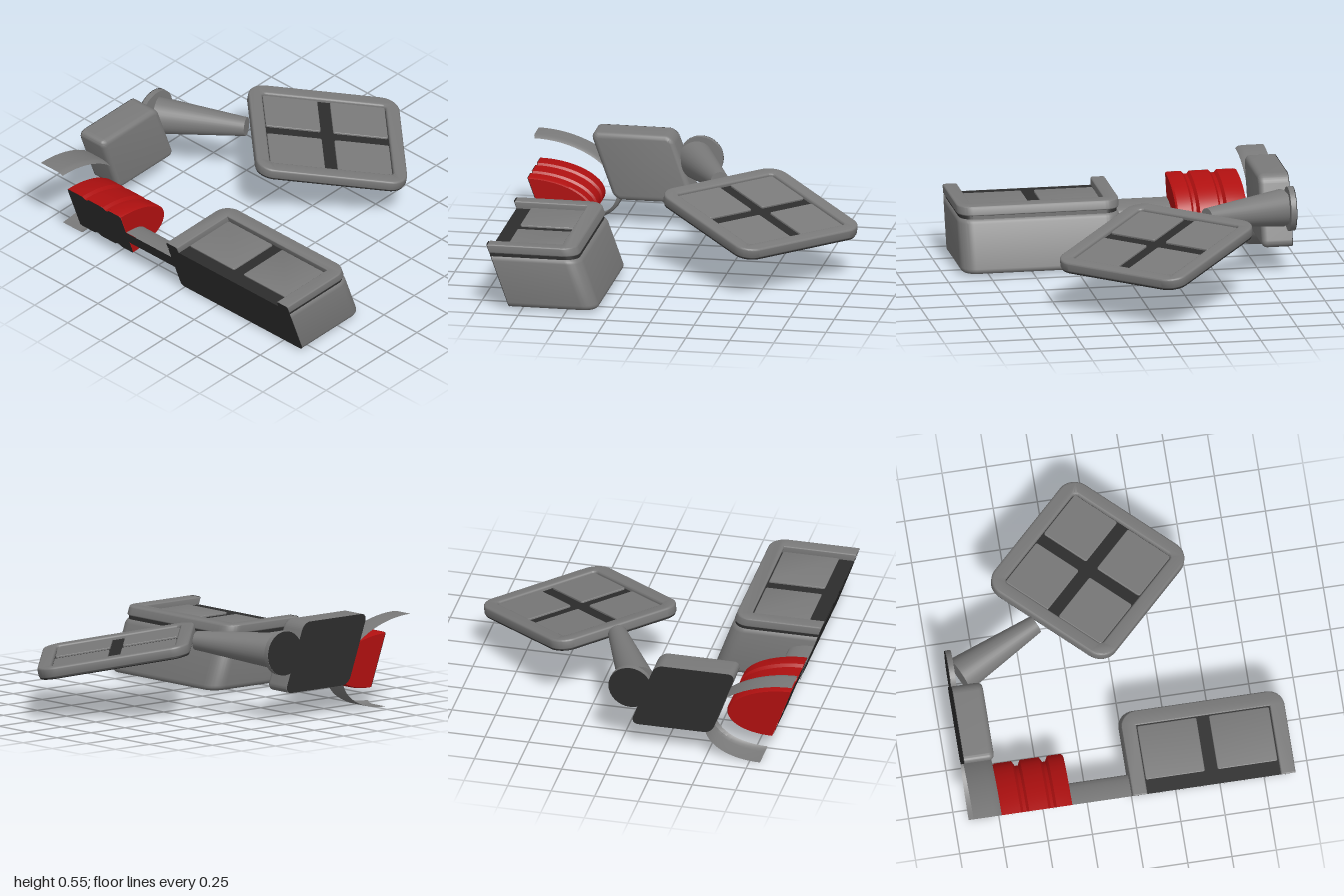
import * as THREE from 'three';
import { toCreasedNormals } from 'three/addons/utils/BufferGeometryUtils.js';

const mat = (name, color) =>
  new THREE.MeshStandardMaterial({ name, color, side: THREE.DoubleSide });

const CUT = 0.9;      // flat front plane, before the lean
const SIDE = -0.92;   // flat outer side plane
const LEAN = 0.36;    // forward lean per unit of height

// clip a geometry at the flat planes, lean it, and smooth its rounded parts
function lean(geo) {
  const p = geo.attributes.position;
  for (let i = 0; i < p.count; i++) {
    const y = p.getY(i);
    p.setX(i, Math.max(p.getX(i), SIDE));
    p.setZ(i, Math.min(p.getZ(i), CUT) + LEAN * (y - 0.25));
  }
  return toCreasedNormals(geo, 0.6);
}

function roundRect(x0, y0, x1, y1, r, Kind = THREE.Shape) {
  const s = new Kind();
  s.absarc(x1 - r, y0 + r, r, -Math.PI / 2, 0);
  s.absarc(x1 - r, y1 - r, r, 0, Math.PI / 2);
  s.absarc(x0 + r, y1 - r, r, Math.PI / 2, Math.PI);
  s.absarc(x0 + r, y0 + r, r, Math.PI, Math.PI * 1.5);
  s.closePath();
  return s;
}

function extrude(shape, depth, bevel) {
  const g = new THREE.ExtrudeGeometry(shape, {
    depth: depth - 2 * bevel, bevelEnabled: bevel > 0, bevelThickness: bevel,
    bevelSize: bevel, bevelOffset: -bevel, bevelSegments: 4, curveSegments: 8,
  });
  return g.translate(0, 0, bevel);
}

// horizontal slab; the shape's y runs towards -z
const slab = (shape, y0, y1, bevel = 0) =>
  extrude(shape, y1 - y0, bevel).rotateX(-Math.PI / 2).translate(0, y0, 0);

// half of an oval turning along x, its flat side on the front plane
function halfTurn(points, cy, h, d) {
  const g = new THREE.LatheGeometry(points.map(([r, x]) => new THREE.Vector2(r, x)), 32, Math.PI, Math.PI);
  const p = g.attributes.position;
  for (let i = 0; i < p.count; i++) {
    p.setXYZ(i, p.getY(i), cy + h * p.getZ(i), CUT + d * p.getX(i));
  }
  return lean(g);
}

// flat front of such a half turn
function turnFace(points, cy, h) {
  const pts = points.map(([r, x]) => new THREE.Vector2(x, cy - h * r))
    .concat(points.slice().reverse().map(([r, x]) => new THREE.Vector2(x, cy + h * r)));
  return lean(new THREE.ShapeGeometry(new THREE.Shape(pts)).translate(0, 0, CUT)).translate(0, 0, 0.003);
}

export function createModel() {
  const grey = mat('grey', 0x7a7a7a);
  const dark = mat('dark grey', 0x2d2d2d);
  const red = mat('red', 0xb01010);
  const root = new THREE.Group();
  const add = (name, geo, material, parent = root) => {
    const m = new THREE.Mesh(geo, material);
    m.name = name;
    parent.add(m);
    return m;
  };
  const group = (name) => {
    const g = new THREE.Group();
    g.name = name;
    root.add(g);
    return g;
  };

  // curved open guard
  add('guard', halfTurn([[1, SIDE], [1, -0.8], [0.985, -0.775], [0.94, -0.76]], 0.2525, 0.2525, 0.4), grey);

  // ribbed red grip
  const grip = [[0, -0.757], [0.97, -0.757], [1, -0.74], [1, -0.645], [0.9, -0.63], [0.9, -0.612], [1, -0.598],
    [1, -0.49], [0.9, -0.475], [0.9, -0.458], [1, -0.443], [1, -0.365], [0.96, -0.355], [0, -0.355]];
  add('grip', halfTurn(grip, 0.232, 0.152, 0.31), red);
  add('gripFace', turnFace(grip.slice(1, -1), 0.232, 0.152), dark);

  // connecting rod
  const rod = [[1, -0.36], [1, 0.03]];
  add('rod', halfTurn(rod, 0.21, 0.042, 0.13), grey);
  add('rodFace', turnFace(rod, 0.21, 0.042), dark);

  // leaning block behind the guard
  const side = roundRect(0.1, 0.155, 0.566, 0.545, 0.045);
  add('block', lean(extrude(side, 0.22, 0.03).rotateY(-Math.PI / 2).translate(-0.75, 0, 0)), grey);
  add('blockFace', lean(new THREE.ShapeGeometry(side).rotateY(-Math.PI / 2).translate(SIDE, 0, 0))
    .translate(-0.003, 0, 0), dark);

  // deep front tray
  const tray = group('frontTray');
  add('trayBody', lean(slab(roundRect(-0.012, -1.2, 0.908, -0.4, 0.09), 0.015, 0.312, 0.03)), grey, tray);
  add('trayFloor', lean(slab(roundRect(0, -1.2, 0.896, -0.412, 0.08), 0.29, 0.334)), dark, tray);
  const rim = new THREE.Shape();
  rim.moveTo(-0.012, -CUT);
  rim.lineTo(0.07, -CUT);
  rim.lineTo(0.07, -0.487);
  rim.lineTo(0.826, -0.487);
  rim.lineTo(0.826, -CUT);
  rim.lineTo(0.908, -CUT);
  rim.absarc(0.818, -0.49, 0.09, 0, Math.PI / 2);
  rim.absarc(0.078, -0.49, 0.09, Math.PI / 2, Math.PI);
  rim.closePath();
  add('trayRim', lean(slab(rim, 0.325, 0.376, 0.008)), grey, tray);
  for (const [x0, x1] of [[0.076, 0.41], [0.482, 0.82]]) {
    add('trayPanel', lean(slab(roundRect(x0, -0.815, x1, -0.493, 0.01), 0.325, 0.345, 0.004)), grey, tray);
  }
  const face = (name, x0, y0, x1, y1, r) => add(name,
    lean(new THREE.ShapeGeometry(roundRect(x0, y0, x1, y1, r)).translate(0, 0, CUT)).translate(0, 0, 0.003), dark, tray);
  face('trayFace', -0.012, 0.015, 0.908, 0.334, 0.025);
  for (const x of [-0.012, 0.828]) face('rimFace', x, 0.325, x + 0.08, 0.376, 0.01);

  // tapered rear arm with its round mount
  const start = new THREE.Vector3(-0.86, 0.385, 0.09);
  const end = new THREE.Vector3(-0.395, 0.412, -0.135);
  const dir = end.clone().sub(start);
  const arm = add('rearArm', new THREE.CylinderGeometry(0.053, 0.105, dir.length(), 32), grey);
  arm.position.copy(start).add(end).multiplyScalar(0.5);
  arm.quaternion.setFromUnitVectors(new THREE.Vector3(0, 1, 0), dir.normalize());
  const mount = add('armMount', new THREE.CylinderGeometry(0.125, 0.125, 0.03, 32), grey);
  mount.rotation.z = Math.PI / 2;
  mount.position.set(SIDE + 0.015, 0.385, 0.065);
  const mountFace = add('mountFace', new THREE.CircleGeometry(0.125, 32), dark);
  mountFace.rotation.y = -Math.PI / 2;
  mountFace.position.set(SIDE - 0.003, 0.385, 0.065);

  // tilted rear plate
  const plate = group('rearPlate');
  const a = 0.43, b = 0.412, ia = 0.352, ib = 0.33;
  add('plateBase', toCreasedNormals(slab(roundRect(-a + 0.006, -b + 0.006, a - 0.006, b - 0.006, 0.1), -0.036, -0.018, 0.006), 0.6), dark, plate);
  const frame = roundRect(-a, -b, a, b, 0.105);
  frame.holes.push(roundRect(-ia, -ib, ia, ib, 0.025, THREE.Path));
  add('plateFrame', toCreasedNormals(slab(frame, -0.027, 0.032, 0.012), 0.6), grey, plate);
  add('plateFloor', slab(roundRect(-ia - 0.01, -ib - 0.01, ia + 0.01, ib + 0.01, 0.03), -0.02, 0.008), dark, plate);
  for (const su of [-1, 1]) for (const sv of [-1, 1]) {
    const u = [su * 0.036, su * (ia - 0.005)].sort((p, q) => p - q);
    const v = [sv * 0.036, sv * (ib - 0.005)].sort((p, q) => p - q);
    add('platePanel', slab(roundRect(u[0], v[0], u[1], v[1], 0.012), 0, 0.019, 0.004), grey, plate);
  }
  const Z = new THREE.Vector3(0.725, 0, 0.688).normalize();
  const X = new THREE.Vector3(0.677, -0.174, -0.714).normalize();
  plate.quaternion.setFromRotationMatrix(new THREE.Matrix4().makeBasis(X, Z.clone().cross(X), Z));
  plate.position.set(-0.055, 0.342, -0.43);

  return root;
}
